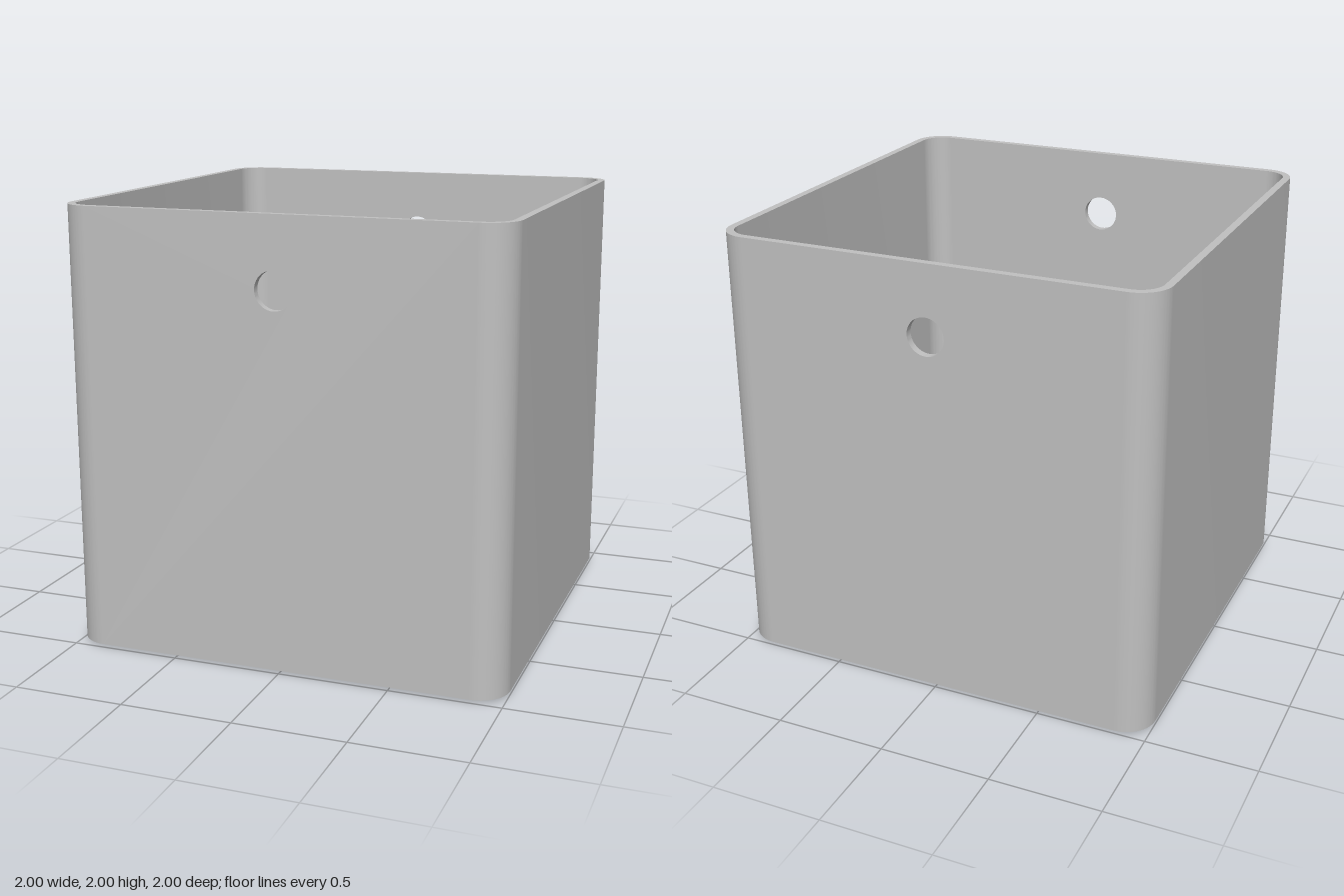
import * as THREE from 'three';
import { toCreasedNormals } from 'three/addons/utils/BufferGeometryUtils.js';

const WALL = 0.035, RADIUS = 0.14, FLAT = 1 - RADIUS;
const FOOT = 0.015, FLOOR_TOP = 0.05, HEIGHT = 2;

// Rounded square outline, half size h and corner radius r
function roundedSquare(h, r, PathType = THREE.Shape) {
  const p = new PathType(), c = h - r;
  p.absarc(c, c, r, 0, Math.PI / 2);
  p.absarc(-c, c, r, Math.PI / 2, Math.PI);
  p.absarc(-c, -c, r, Math.PI, Math.PI * 1.5);
  p.absarc(c, -c, r, Math.PI * 1.5, Math.PI * 2);
  p.closePath();
  return p;
}

function extrude(shape, depth, curveSegments = 16) {
  return new THREE.ExtrudeGeometry(shape, { depth, curveSegments, bevelEnabled: false });
}

// Plan outline raised from y0 to y1
function raise(shape, y0, y1) {
  const g = extrude(shape, y1 - y0).rotateX(-Math.PI / 2).translate(0, y0, 0);
  return toCreasedNormals(g, 0.5);
}

export function createModel() {
  const model = new THREE.Group();
  model.name = 'squareBin';
  const grey = new THREE.MeshStandardMaterial({ color: 0xc0c0c0 });
  grey.name = 'grey';
  const add = (name, geometry) => {
    const mesh = new THREE.Mesh(geometry, grey);
    mesh.name = name;
    model.add(mesh);
    return mesh;
  };

  // Front and back walls, each with a round hand hole
  const panel = new THREE.Shape();
  panel.moveTo(-FLAT, FOOT);
  panel.lineTo(FLAT, FOOT);
  panel.lineTo(FLAT, HEIGHT);
  panel.lineTo(-FLAT, HEIGHT);
  panel.closePath();
  panel.holes.push(new THREE.Path().absarc(0, 1.685, 0.085, 0, Math.PI * 2, true));
  const panelGeometry = toCreasedNormals(extrude(panel, WALL, 32).translate(0, 0, 1 - WALL), 0.5);

  // Side walls including the rounded corners
  const side = new THREE.Shape();
  side.moveTo(FLAT, -1);
  side.absarc(FLAT, -FLAT, RADIUS, -Math.PI / 2, 0);
  side.absarc(FLAT, FLAT, RADIUS, 0, Math.PI / 2);
  side.absarc(FLAT, FLAT, RADIUS - WALL, Math.PI / 2, 0, true);
  side.absarc(FLAT, -FLAT, RADIUS - WALL, 0, -Math.PI / 2, true);
  side.closePath();
  const sideGeometry = raise(side, FOOT, HEIGHT);

  add('frontWall', panelGeometry);
  add('backWall', panelGeometry).rotation.y = Math.PI;
  add('leftWall', sideGeometry);
  add('rightWall', sideGeometry).rotation.y = Math.PI;

  // Floor plate
  const inner = 1 - WALL;
  add('floor', raise(roundedSquare(inner, RADIUS - WALL), FOOT, FLOOR_TOP));

  // Raised foot rim under the floor
  const rim = roundedSquare(inner, RADIUS - WALL);
  rim.holes.push(roundedSquare(inner - 0.025, RADIUS - WALL - 0.025, THREE.Path));
  add('footRim', raise(rim, 0, FOOT));

  // Diagonal ribs under the floor
  for (const s of [1, -1]) {
    const rib = add('diagonalRib', new THREE.BoxGeometry(2.57, FOOT, 0.02));
    rib.position.y = FOOT / 2;
    rib.rotation.y = s * Math.PI / 4;
  }
  return model;
}
